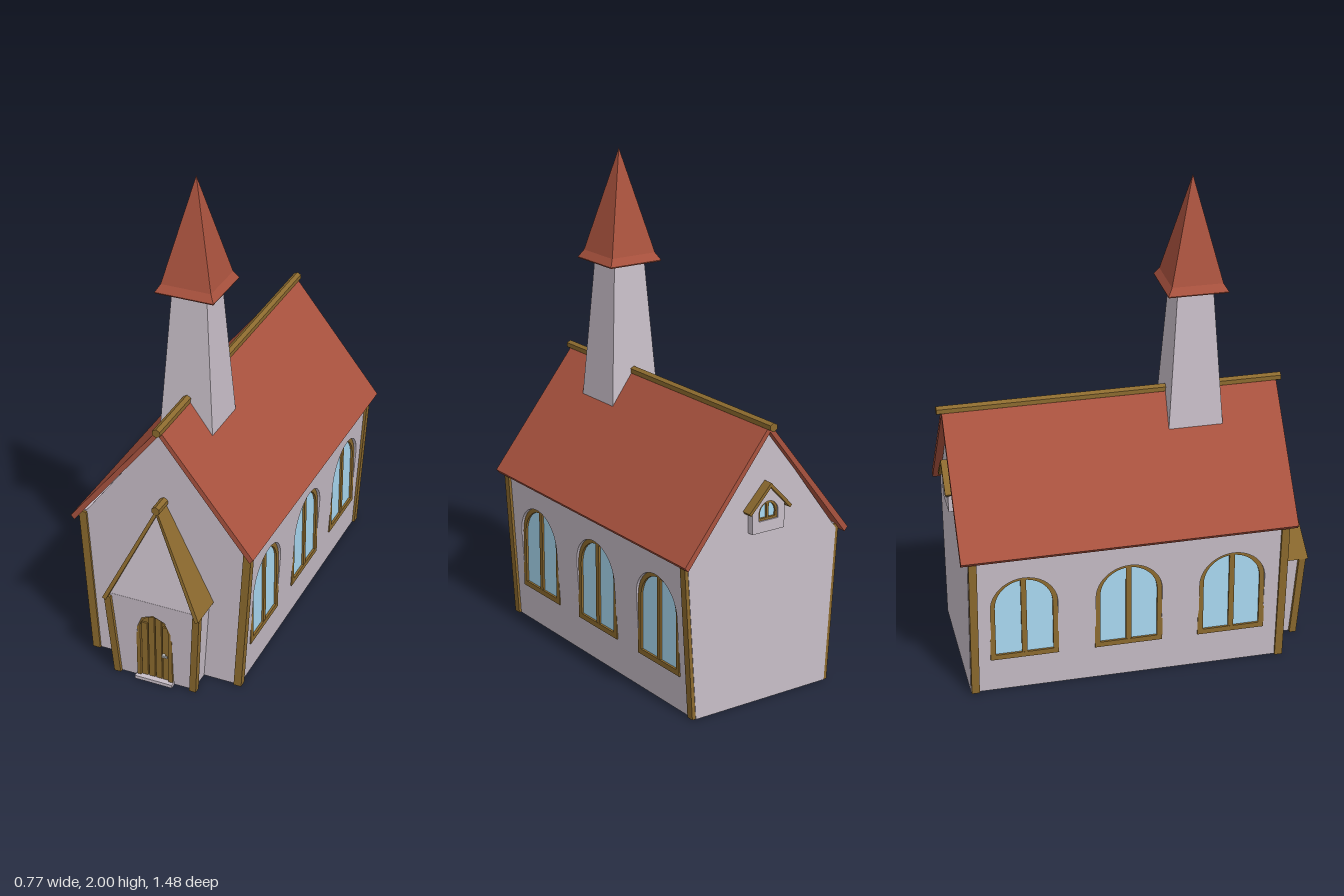
import * as THREE from 'three';
import { ConvexGeometry } from 'three/addons/geometries/ConvexGeometry.js';

const mat = (color) => new THREE.MeshStandardMaterial({ color, side: THREE.DoubleSide, flatShading: true });

export function createModel() {
  const root = new THREE.Group();
  const plaster = mat(0xc8bec8), tile = mat(0xa9523e), wood = mat(0x8c6a2e), glass = mat(0xa9d9f2), metal = mat(0xcccccc);

  const add = (parent, name, geometry, material) => {
    const mesh = new THREE.Mesh(geometry, material);
    mesh.name = name;
    parent.add(mesh);
    return mesh;
  };
  const box = (parent, name, material, w, h, d, x, y, z) =>
    add(parent, name, new THREE.BoxGeometry(w, h, d).translate(x, y, z), material);
  const hull = (parent, name, material, pts) =>
    add(parent, name, new ConvexGeometry(pts.map((p) => new THREE.Vector3(...p))), material);
  // Slab: a cross-section of [x, y, zBack, zFront] corners
  const slab = (parent, name, material, section) =>
    hull(parent, name, material, section.flatMap(([x, y, a, b]) => [[x, y, a], [x, y, b]]));
  // Square post leaning from (x0, z0) to (x1, z1)
  const post = (parent, name, x0, z0, x1, z1, h, r) => {
    const pts = [];
    for (const i of [-r, r]) for (const j of [-r, r]) pts.push([x0 + i, 0, z0 + j], [x1 + i, h, z1 + j]);
    hull(parent, name, wood, pts);
  };
  const poly = (pts) => new THREE.Shape(pts.map((p) => new THREE.Vector2(...p)));
  const extrude = (shape, depth) =>
    new THREE.ExtrudeGeometry(shape, { depth, bevelEnabled: false, curveSegments: 12 });
  // Round-headed outline
  const arch = (r, base, spring, cx = 0, path = new THREE.Shape()) => {
    path.moveTo(cx - r, base);
    path.lineTo(cx + r, base);
    path.lineTo(cx + r, spring);
    path.absarc(cx, spring, r, 0, Math.PI, false);
    path.lineTo(cx - r, base);
    return path;
  };
  const archHole = (...a) => arch(...a, new THREE.Path());
  const archFrame = (parent, name, r, base, spring, t, depth, sill = t) => {
    const shape = arch(r, base, spring);
    shape.holes.push(archHole(r - t, base + sill, spring, 0));
    return add(parent, name, extrude(shape, depth), wood);
  };
  // Window facing +z with frame, pane and mullion
  const makeWindow = (name, r, base, spring, t) => {
    const g = new THREE.Group();
    g.name = name;
    archFrame(g, 'windowFrame', r, base, spring, t, 0.026);
    add(g, 'windowPane', extrude(arch(r - t / 2, base + t / 2, spring), 0.008).translate(0, 0, 0.009), glass);
    box(g, 'windowMullion', wood, t, spring + r - base - t, 0.024, 0, (base + spring + r) / 2, 0.013);
    return g;
  };
  const mirrored = (side, name) => {
    const other = side.clone();
    other.name = name;
    other.scale.x = -1;
    root.add(side, other);
  };

  // Left half of the nave: leaning wall, windows, corner posts, roof slope
  const side = new THREE.Group();
  side.name = 'leftSide';
  const centres = [0.376, -0.047, -0.47];
  const wallShape = poly([[-0.59, 0], [0.68, 0], [0.68, 0.65], [-0.59, 0.65]]);
  centres.forEach((z) => wallShape.holes.push(archHole(0.135, 0.155, 0.39, -z)));
  const wall = extrude(wallShape, 0.03).rotateY(Math.PI / 2);
  const p = wall.attributes.position;
  for (let i = 0; i < p.count; i++) p.setX(i, p.getX(i) + 0.285 + 0.06 * p.getY(i));
  wall.computeVertexNormals();
  add(side, 'sideWall', wall, plaster);
  for (const z of centres) {
    const w = makeWindow('sideWindow', 0.138, 0.15, 0.39, 0.022);
    w.rotation.y = Math.PI / 2;
    w.position.set(0.304, 0, z);
    side.add(w);
  }
  post(side, 'frontCornerPost', 0.309, 0.585, 0.349, 0.585, 0.645, 0.016);
  post(side, 'backCornerPost', 0.309, -0.672, 0.349, -0.672, 0.645, 0.016);
  const roofZ = [-0.72, 0.63];
  slab(side, 'roofSlope', tile,
    [[0, 1.12], [0.385, 0.637], [0.37, 0.62], [0, 1.09]].map((c) => [...c, ...roofZ]));

  // Left half of the porch: wall, post, roof slope swept forward at the eaves
  slab(side, 'porchSideWall', plaster, [
    [0.145, 0, 0.58, 0.685], [0.162, 0, 0.58, 0.685], [0.17, 0.38, 0.58, 0.71], [0.188, 0.38, 0.58, 0.71]]);
  post(side, 'porchPost', 0.163, 0.692, 0.189, 0.712, 0.37, 0.014);
  slab(side, 'porchRoofSlope', wood, [
    [0, 0.785, 0.58, 0.663], [0, 0.755, 0.58, 0.663], [0.205, 0.367, 0.58, 0.736], [0.19, 0.36, 0.58, 0.736]]);
  mirrored(side, 'rightSide');

  // Gable walls; the front one opens into the porch
  add(root, 'frontGableWall', extrude(poly([
    [0.15, 0], [0.31, 0], [0.35, 0.63], [0, 1.1], [-0.35, 0.63], [-0.31, 0], [-0.15, 0],
    [-0.17, 0.36], [0, 0.72], [0.17, 0.36]]), 0.02).translate(0, 0, 0.572), plaster);
  add(root, 'backGableWall', extrude(poly([
    [0.31, 0], [0.35, 0.63], [0, 1.1], [-0.35, 0.63], [-0.31, 0]]), 0.02).translate(0, 0, -0.69), plaster);

  // Ridge beams
  const beam = (name, r, length, y, z) =>
    add(root, name, new THREE.CylinderGeometry(r, r, length, 6).rotateX(Math.PI / 2).translate(0, y, z), wood);
  beam('ridgeBeam', 0.018, 1.39, 1.113, -0.045);
  beam('porchRidgeBeam', 0.018, 0.09, 0.78, 0.623);

  // Porch front: leaning lower wall with door opening, gable tilted back
  const lower = poly([[-0.155, 0], [-0.072, 0], [-0.072, 0.245], [-0.05, 0.297], [0, 0.318], [0.05, 0.297],
    [0.072, 0.245], [0.072, 0], [0.155, 0], [0.183, 0.38], [-0.183, 0.38]]);
  const porchWall = extrude(lower, 0.02);
  const q = porchWall.attributes.position;
  for (let i = 0; i < q.count; i++) q.setZ(i, q.getZ(i) + 0.672 + 0.055 * q.getY(i));
  porchWall.computeVertexNormals();
  add(root, 'porchFrontWall', porchWall, plaster);
  slab(root, 'porchGable', plaster, [[-0.183, 0.38, 0.69, 0.712], [0.183, 0.38, 0.69, 0.712], [0, 0.765, 0.63, 0.652]]);

  // Door with planks, frame, handle and step
  const door = new THREE.Group();
  door.name = 'door';
  door.position.z = 0.674;
  root.add(door);
  archFrame(door, 'doorFrame', 0.076, 0, 0.247, 0.016, 0.03, 0.004);
  add(door, 'doorPanel', extrude(arch(0.065, 0.003, 0.247), 0.012).translate(0, 0, 0.003), wood);
  for (let i = 0; i < 4; i++) {
    const x = -0.045 + i * 0.03;
    const h = 0.247 + Math.sqrt(0.06 ** 2 - (Math.abs(x) + 0.012) ** 2);
    box(door, 'doorPlank', wood, 0.025, h, 0.008, x, h / 2, 0.018);
  }
  add(door, 'doorKnob', new THREE.SphereGeometry(0.008, 8, 6).translate(0.04, 0.135, 0.028), metal);
  box(door, 'doorHandle', metal, 0.024, 0.007, 0.007, 0.046, 0.135, 0.034);
  box(root, 'doorStep', plaster, 0.16, 0.014, 0.05, 0, 0.007, 0.695);

  // Tower and flared spire, both four-sided
  const square = (profile) =>
    new THREE.LatheGeometry(profile.map(([r, y]) => new THREE.Vector2(r * Math.SQRT2, y)), 4)
      .rotateY(Math.PI / 4).translate(0, 0, 0.275);
  add(root, 'tower', square([[0.11, 0.98], [0.07, 1.57]]), plaster);
  add(root, 'spire', square([[0.065, 1.575], [0.118, 1.55], [0.12, 1.555], [0.102, 1.585], [0, 2]]), tile);

  // Small gabled window on the back wall
  const dormer = new THREE.Group();
  dormer.name = 'backDormer';
  dormer.position.z = -0.685;
  dormer.rotation.y = Math.PI;
  root.add(dormer);
  const house = poly([[-0.075, 0.7], [0.075, 0.7], [0.075, 0.8], [0, 0.88], [-0.075, 0.8]]);
  house.holes.push(archHole(0.045, 0.745, 0.775, 0));
  add(dormer, 'dormerWall', extrude(house, 0.032), plaster);
  dormer.add(makeWindow('dormerWindow', 0.047, 0.743, 0.775, 0.011));
  for (const s of [-1, 1]) {
    slab(dormer, 'dormerRoof', wood, [
      [0, 0.895, 0, 0.046], [0, 0.877, 0, 0.046], [s * 0.1, 0.79, 0, 0.046], [s * 0.092, 0.78, 0, 0.046]]);
  }
  return root;
}
